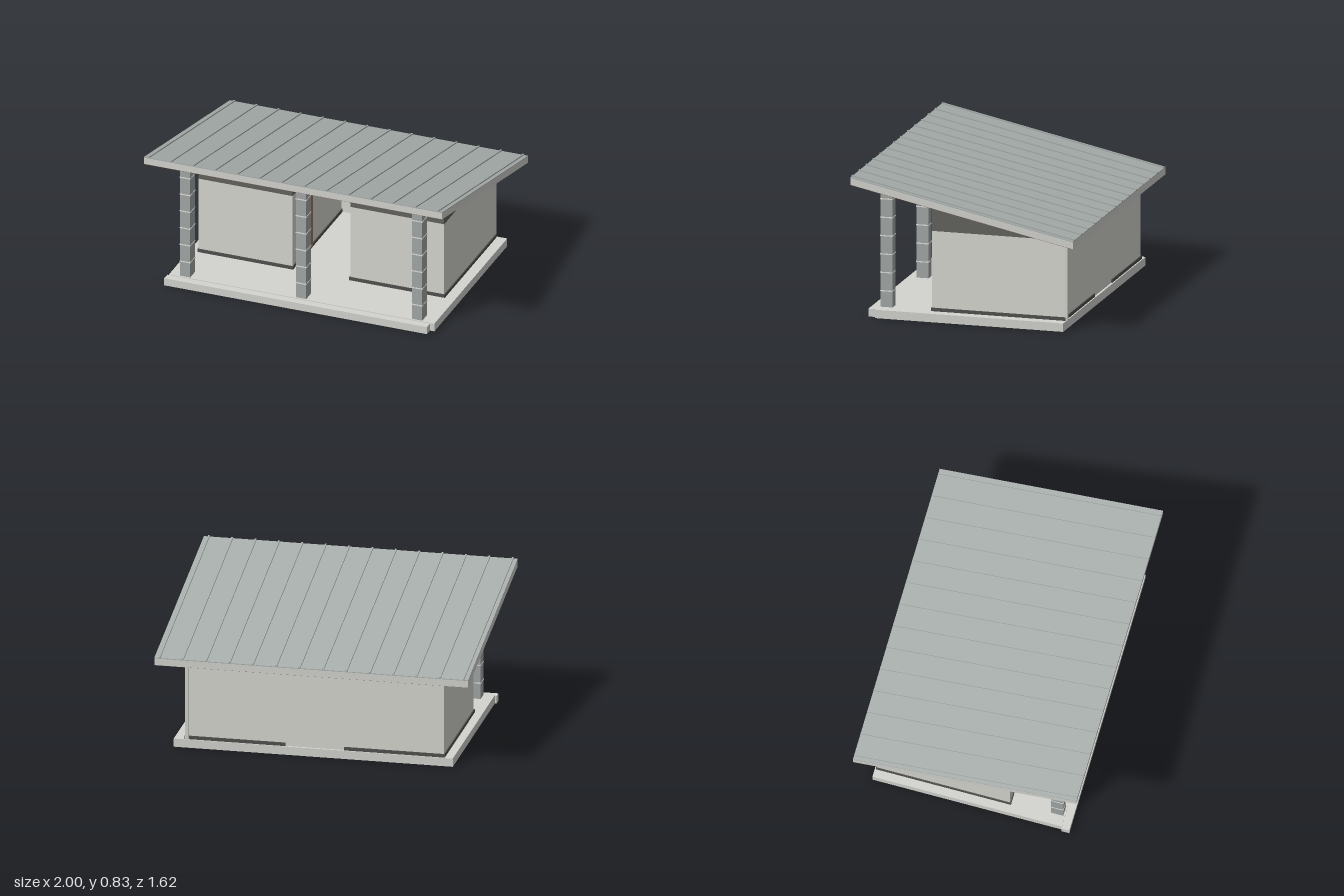
import * as THREE from 'three';

export function createModel() {
  const model = new THREE.Group();
  model.name = 'pavilion';
  const house = new THREE.Group();
  house.name = 'house';
  house.rotation.y = -0.2007; // the whole building stands turned on its site
  model.add(house);

  const mat = (name, color) => {
    const m = new THREE.MeshStandardMaterial({ color });
    m.name = name;
    return m;
  };
  const wall = mat('pale render', 0xd8d8d2);
  const concrete = mat('concrete', 0xd4d5d0);
  const clerestory = mat('dark clerestory', 0x62635e);
  const plinthMat = mat('dark plinth', 0x50514e);
  const stone = mat('grey stone', 0xa3a9a7);
  const joint = mat('light joint', 0xdfe0db);
  const metal = mat('roof metal', 0xa8afac);
  const timber = mat('soffit timber', 0x946a60);
  const doorMat = mat('door timber', 0xa3745f);
  const trim = mat('pale trim', 0xd4d5d0);

  const add = (name, geometry, material, parent = house) => {
    const mesh = new THREE.Mesh(geometry, material);
    mesh.name = name;
    parent.add(mesh);
    return mesh;
  };
  // Box given by its limits on each axis
  const box = (name, material, [x0, x1], [y0, y1], [z0, z1], parent) => {
    const g = new THREE.BoxGeometry(x1 - x0, y1 - y0, z1 - z0);
    g.translate((x0 + x1) / 2, (y0 + y1) / 2, (z0 + z1) / 2);
    return add(name, g, material, parent);
  };

  // Roof plane: height of the sheet's top at depth z
  const SLOPE = 0.2138;
  const roofY = (z) => 0.681 + SLOPE * z;
  // Box whose top follows the roof at an offset; bottom follows it too, or is flat
  const roofBox = (name, material, xs, zs, top, bottom, flatBottom = false, parent) => {
    const mesh = box(name, material, xs, [0, 1], zs, parent);
    const p = mesh.geometry.attributes.position;
    for (let i = 0; i < p.count; i++) {
      const y = roofY(p.getZ(i));
      if (p.getY(i) > 0.5) p.setY(i, y + top);
      else p.setY(i, flatBottom ? bottom : y + bottom);
    }
    mesh.geometry.computeVertexNormals();
    return mesh;
  };

  // Ground slab and front step
  const FLOOR = 0.048;
  box('slab', concrete, [-0.785, 0.798], [0, FLOOR], [-0.56, 0.53]);
  box('frontStep', concrete, [-0.795, 0.772], [0, 0.044], [0.53, 0.576]);

  // Two room blocks, each with plinth and sloping dark upper wall
  const BACK = -0.547, FRONT = 0.218, EAVES = 0.505, INNER = 0.173, OUTER = 0.732;
  for (const [side, x0, x1] of [['right', -OUTER, -INNER], ['left', INNER, OUTER]]) {
    const room = new THREE.Group();
    room.name = side + 'Room';
    house.add(room);
    box('walls', wall, [x0, x1], [FLOOR, EAVES], [BACK, FRONT], room);
    box('plinth', plinthMat, [x0 - 0.006, x1 + 0.006], [FLOOR, 0.067], [BACK - 0.006, FRONT + 0.006], room);
    roofBox('upperWall', clerestory, [x0, x1], [BACK, FRONT], -0.045, EAVES, true, room);
  }

  // Passage between the rooms: back wall, bench and door
  box('passageBackWall', wall, [-INNER, INNER], [FLOOR, EAVES], [BACK, BACK + 0.03]);
  roofBox('passageUpperWall', clerestory, [-INNER, INNER], [BACK, BACK + 0.03], -0.045, EAVES, true);
  box('bench', wall, [-INNER, INNER], [0.205, 0.223], [BACK + 0.03, BACK + 0.13]);
  box('benchBlock', wall, [0.07, INNER], [0.223, 0.247], [BACK + 0.03, BACK + 0.1]);
  box('door', doorMat, [-INNER, -INNER + 0.008], [FLOOR, 0.493], [-0.07, 0.14]);

  // Downpipe at the back corner
  box('downpipe', trim, [OUTER - 0.018, OUTER + 0.001], [FLOOR, 0.515], [BACK - 0.018, BACK]);

  // Three coursed stone posts
  for (const x of [-0.692, 0, 0.692]) {
    const post = new THREE.Group();
    post.name = 'post';
    post.position.set(x, 0, 0.486);
    house.add(post);
    roofBox('shaft', stone, [-0.03, 0.03], [-0.035, 0.035], 0, FLOOR, true, post);
    // Shaft top meets the soffit at the post's own depth
    const p = post.children[0].geometry.attributes.position;
    for (let i = 0; i < p.count; i++) {
      if (p.getY(i) > 0.5) p.setY(i, roofY(0.486 + p.getZ(i)) - 0.044);
    }
    post.children[0].geometry.computeVertexNormals();
    for (let k = 0; k < 6; k++) {
      const y = 0.14 + k * 0.105;
      box('joint', joint, [-0.032, 0.032], [y - 0.003, y + 0.003], [-0.037, 0.037], post);
    }
  }

  // Roof: soffit, pale fascia body, metal sheet and standing seams
  const RX = 0.89, RZ = 0.643;
  roofBox('soffit', timber, [-RX + 0.004, RX - 0.004], [-RZ + 0.004, RZ - 0.004], -0.042, -0.046);
  roofBox('fascia', trim, [-RX, RX], [-RZ, RZ], -0.004, -0.043);
  roofBox('roofSheet', metal, [-RX, RX], [-RZ, RZ], 0, -0.004);
  for (let k = 0; k < 14; k++) {
    const x = -0.862 + k * 0.1326;
    roofBox('seam', metal, [x - 0.005, x + 0.005], [-RZ, RZ], 0.007, 0);
  }

  // Flat lamp under the porch ceiling
  box('porchLamp', joint, [-0.118, 0.118], [0.711, 0.717], [0.33, 0.37]);

  return model;
}
